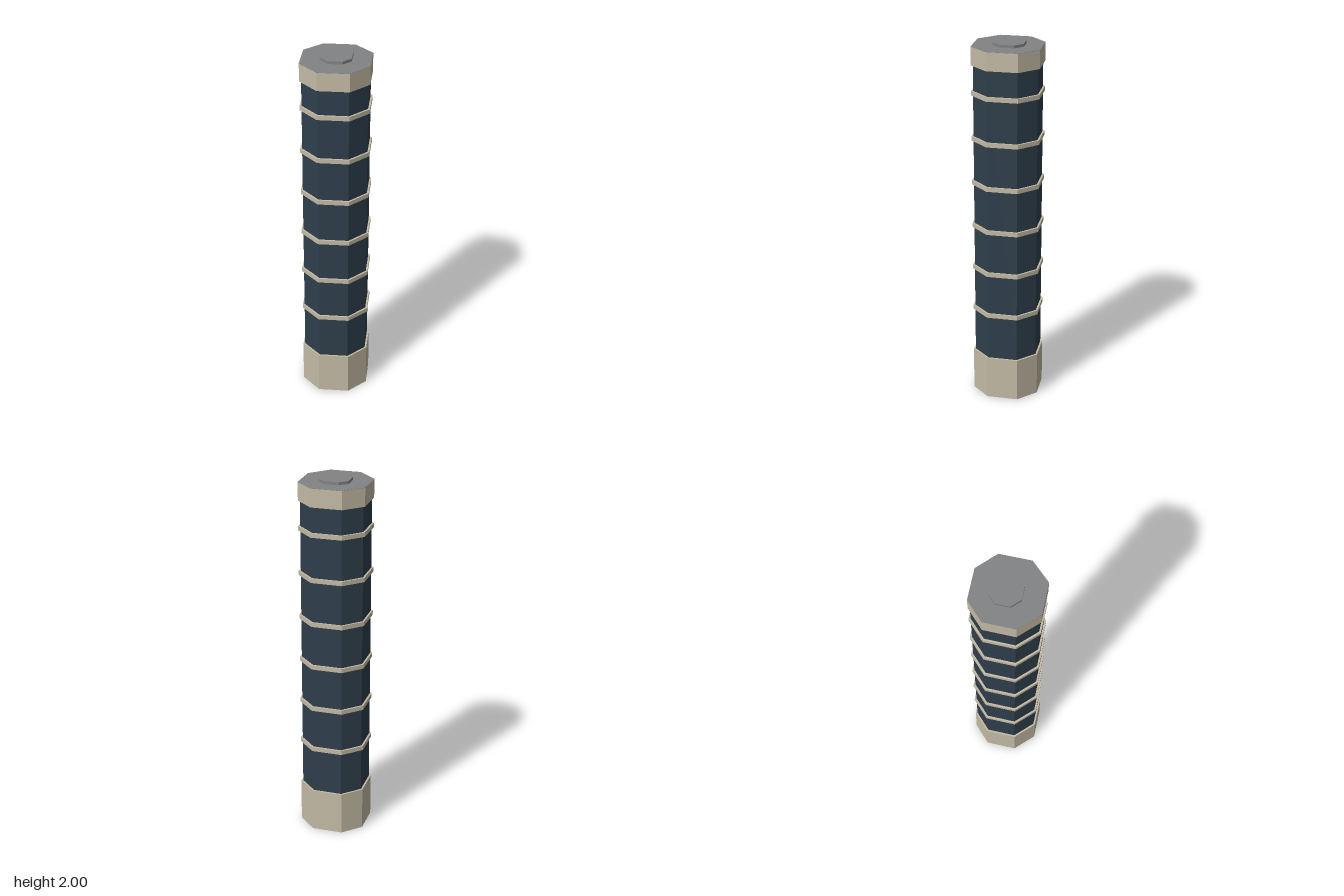
import * as THREE from 'three';

// Octagonal outline with uneven corners, as x, z pairs
const OUTLINE = [
  [0.181, 0.075], [0.09, 0.176], [-0.076, 0.182], [-0.179, 0.083],
  [-0.182, -0.084], [-0.09, -0.178], [0.077, -0.184], [0.177, -0.093],
];

export function createModel() {
  const model = new THREE.Group();
  model.name = 'segmentedColumn';

  const material = (name, color) => {
    const m = new THREE.MeshStandardMaterial({ color, flatShading: true });
    m.name = name;
    return m;
  };
  const tan = material('warm tan', 0xc4bba5);
  const navy = material('dark slate blue', 0x2f3f4c);
  const grey = material('mid grey', 0x828385);

  // Upright prism from y0 to y1 with the outline scaled about the axis
  const prism = (name, mat, y0, y1, scale = 1, zOffset = 0) => {
    const shape = new THREE.Shape(
      OUTLINE.map(([x, z]) => new THREE.Vector2(x * scale, -z * scale)));
    const geometry = new THREE.ExtrudeGeometry(shape, { depth: y1 - y0, bevelEnabled: false });
    geometry.rotateX(-Math.PI / 2);
    geometry.translate(0, y0, zOffset);
    const mesh = new THREE.Mesh(geometry, mat);
    mesh.name = name;
    model.add(mesh);
  };

  // Base, shaft and top collar
  prism('base', tan, 0, 0.243);
  prism('shaft', navy, 0.243, 1.885, 0.945);
  prism('topCollar', tan, 1.885, 1.984);

  // Evenly spaced rings around the shaft
  for (let i = 0; i < 6; i++) {
    const y = 0.505 + i * 0.2463;
    prism(`ring${i + 1}`, tan, y - 0.012, y + 0.012);
  }

  // Grey end face with its small raised button
  prism('topPlate', grey, 1.984, 1.985);
  prism('topButton', grey, 1.985, 2, 0.45, -0.008);

  return model;
}
